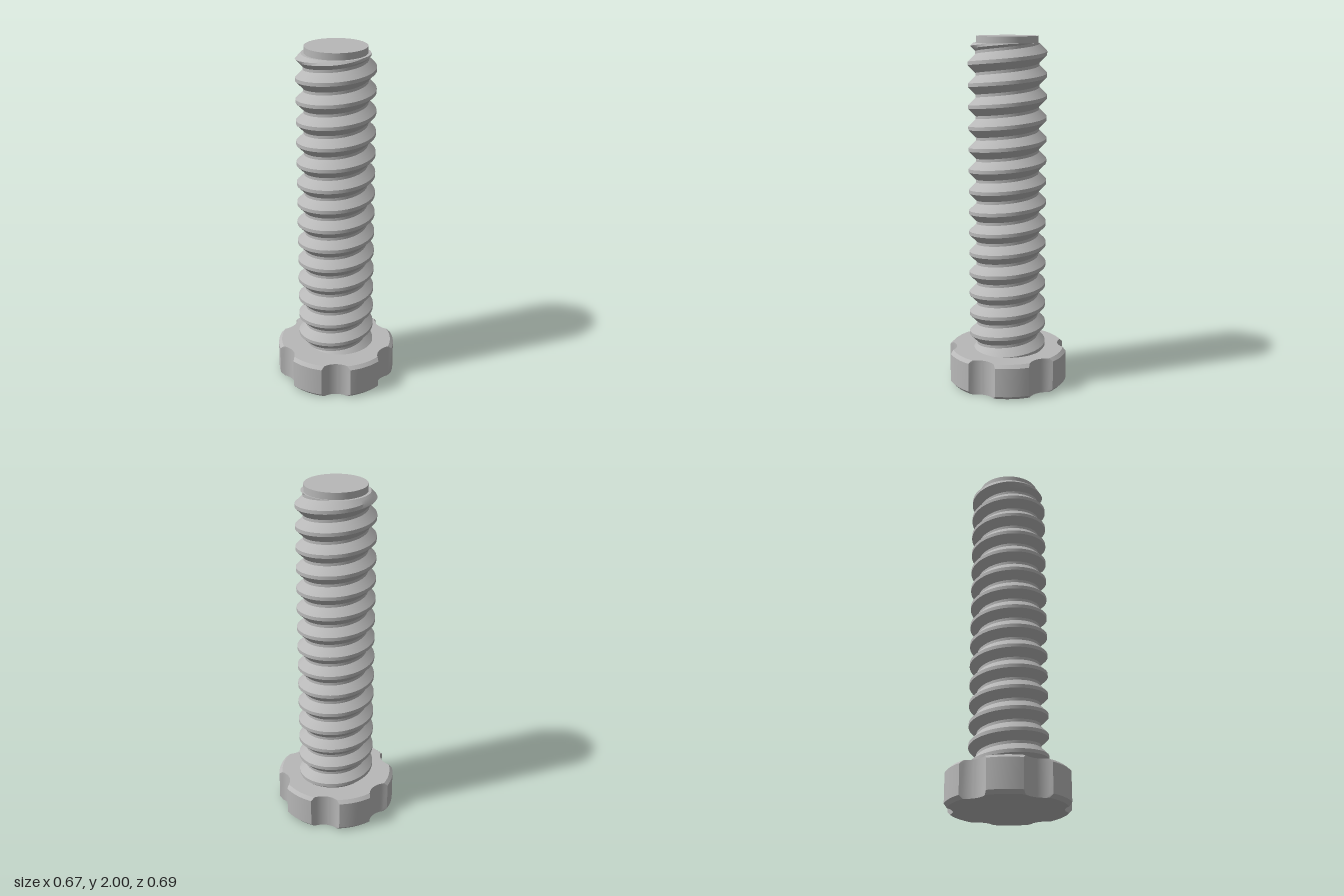
import * as THREE from 'three';
import { toCreasedNormals } from 'three/addons/utils/BufferGeometryUtils.js';

const TAU = Math.PI * 2;

// Closed surface from columns of points going round the y axis, each running bottom to top
function columnsToGeometry(columns) {
  const positions = [];
  const ab = new THREE.Vector3(), ac = new THREE.Vector3();
  const addTriangle = (a, b, c) => {
    const area = ab.subVectors(b, a).cross(ac.subVectors(c, a)).length();
    if (area > 1e-9) for (const p of [a, b, c]) positions.push(p.x, p.y, p.z);
  };
  for (let i = 0; i + 1 < columns.length; i++) {
    const p = columns[i], q = columns[i + 1];
    for (let j = 0; j + 1 < p.length; j++) {
      addTriangle(p[j], q[j], q[j + 1]);
      addTriangle(p[j], q[j + 1], p[j + 1]);
    }
  }
  const geometry = new THREE.BufferGeometry();
  geometry.setAttribute('position', new THREE.Float32BufferAttribute(positions, 3));
  return toCreasedNormals(geometry, 0.5);
}

const polar = (r, angle, y) => new THREE.Vector3(r * Math.sin(angle), y, r * Math.cos(angle));

// Chamfered disc with six round finger notches
function headGeometry() {
  const notchCentre = 0.407, notchRadius = 0.11, sector = TAU / 6;
  const notchSteps = 14, rimSteps = 8;
  const levels = [[0.327, 0], [0.346, 0.02], [0.346, 0.187], [0.327, 0.205]];
  const corner = (R) =>
    Math.acos((notchCentre ** 2 + R ** 2 - notchRadius ** 2) / (2 * notchCentre * R));

  const columns = [];
  for (let s = 0; s < 6; s++) {
    const middle = TAU / 4 + s * sector;
    for (let i = 0; i < notchSteps + rimSteps; i++) {
      const points = levels.map(([R, y]) => {
        const a = corner(R);
        if (i <= notchSteps) {
          const t = a * (2 * i / notchSteps - 1);
          const r = notchCentre * Math.cos(t)
            - Math.sqrt(notchRadius ** 2 - (notchCentre * Math.sin(t)) ** 2);
          return polar(r, middle + t, y);
        }
        const t = a + (sector - 2 * a) * (i - notchSteps) / rimSteps;
        return polar(R, middle + t, y);
      });
      columns.push([new THREE.Vector3(0, 0, 0), ...points, new THREE.Vector3(0, 0.205, 0)]);
    }
  }
  columns.push(columns[0]);
  return columnsToGeometry(columns);
}

// Right-handed helical thread with a bevelled run-out at the top
function threadGeometry() {
  const pitch = 0.12, root = 0.178, crest = 0.22, turns = 16, segments = 80;
  const bottom = 0.2, top = 1.962, crestHalf = 0.01, flank = 0.042;
  const offsets = [-0.052, -0.038, -0.024, -0.01, 0.01, 0.024, 0.038, 0.052];

  const columns = [];
  for (let i = 0; i <= segments; i++) {
    const angle = TAU * i / segments;
    const start = 1.859 + pitch * i / segments;
    const points = [];
    for (let k = -turns; k <= 2; k++) {
      for (const d of offsets) {
        const y = THREE.MathUtils.clamp(start + k * pitch + d, bottom, top);
        // Profile radius at this height, measured from the nearest crest
        const n = (y - start) / pitch;
        const distance = Math.abs(n - Math.round(n)) * pitch;
        const drop = THREE.MathUtils.clamp((distance - crestHalf) / flank, 0, 1);
        const r = crest - (crest - root) * drop;
        points.push(polar(Math.min(r, Math.max(root, root + 1.972 - y)), angle, y));
      }
    }
    points.push(polar(0.17, angle, top));
    columns.push(points);
  }
  return columnsToGeometry(columns);
}

export function createModel() {
  const group = new THREE.Group();
  group.name = 'thumbScrew';
  const grey = new THREE.MeshStandardMaterial({ color: 0xb8b8b8 });
  grey.name = 'plain grey';

  const add = (name, geometry) => {
    const mesh = new THREE.Mesh(geometry, grey);
    mesh.name = name;
    group.add(mesh);
    return mesh;
  };

  add('head', headGeometry());
  add('thread', threadGeometry());

  // Plain tip above the thread
  add('tip', new THREE.CylinderGeometry(0.172, 0.172, 0.06, 80)).position.y = 1.97;

  return group;
}
